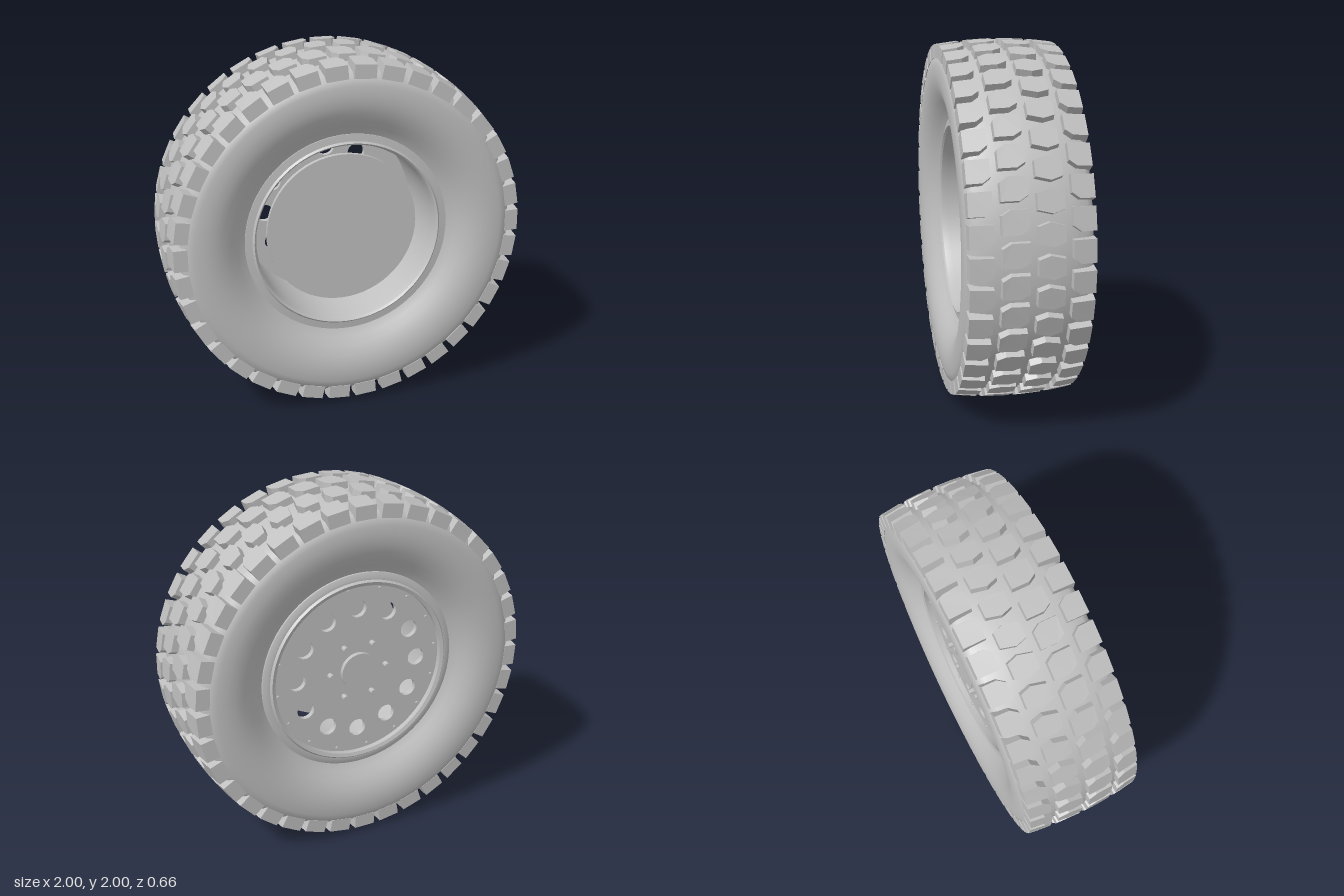
import * as THREE from 'three';
import { mergeGeometries, toCreasedNormals } from 'three/addons/utils/BufferGeometryUtils.js';

const grey = new THREE.MeshStandardMaterial({ color: 0xc0c0c0 });
grey.name = 'plain grey';

const BLOCKS = 38;
const PITCH = (Math.PI * 2) / BLOCKS;

// Radius of the slightly crowned tread surface at a given width position
const crown = (z) => 1 - 0.24 * z * z;

// Revolve a [radius, z] profile around the z axis
function revolve(profile, crease) {
  const points = profile.map(([r, z]) => new THREE.Vector2(r, z));
  const geo = new THREE.LatheGeometry(points, 96).rotateX(Math.PI / 2);
  return crease ? toCreasedNormals(geo, crease) : geo;
}

// Cylinder lying along z between two positions
function discGeometry(radius, z0, z1, x = 0, y = 0, sides = 64) {
  return new THREE.CylinderGeometry(radius, radius, z1 - z0, sides)
    .rotateX(Math.PI / 2).translate(x, y, (z0 + z1) / 2);
}

// Ring of small cylinders around the axle
function boltRing(count, ring, radius, z0, z1, offset, sides) {
  const parts = [];
  for (let i = 0; i < count; i++) {
    const a = offset + (i / count) * Math.PI * 2;
    parts.push(discGeometry(radius, z0, z1, ring * Math.cos(a), ring * Math.sin(a), sides));
  }
  return mergeGeometries(parts);
}

// One row of tread blocks: outline in (along the tread, across the tread), bent onto the crown
function treadRow({ z, depth, phase, outline }) {
  const shape = new THREE.Shape(outline.map(([u, v]) => new THREE.Vector2(u, v)));
  const block = new THREE.ExtrudeGeometry(shape, { depth: 1, bevelEnabled: false });
  const p = block.attributes.position;
  for (let i = 0; i < p.count; i++) {
    const top = p.getZ(i) > 0.5;
    const spread = top ? 1 : 1.08;
    const across = z + p.getY(i) * (top ? 1 : 1.04);
    const angle = p.getX(i) * spread;
    const r = crown(across) - (top ? 0 : depth);
    p.setXYZ(i, r * Math.cos(angle), r * Math.sin(angle), across);
  }
  block.computeVertexNormals();
  const parts = [];
  for (let i = 0; i < BLOCKS; i++) parts.push(block.clone().rotateZ((i + phase) * PITCH));
  return mergeGeometries(parts);
}

export function createModel() {
  const wheel = new THREE.Group();
  wheel.name = 'wheel';
  const add = (name, geometry) => {
    const mesh = new THREE.Mesh(geometry, grey);
    mesh.name = name;
    wheel.add(mesh);
    return mesh;
  };

  // Tyre body: crowned tread, rounded shoulders, sidewalls sloping in to the beads
  const half = [
    [0.962, 0], [0.958, 0.12], [0.947, 0.21], [0.928, 0.285], [0.9, 0.317], [0.862, 0.328],
    [0.81, 0.332], [0.76, 0.328], [0.71, 0.314], [0.66, 0.288], [0.62, 0.258], [0.58, 0.232],
    [0.54, 0.215], [0.52, 0.2],
  ];
  const mirrored = half.slice(1).reverse().map(([r, z]) => [r, -z]);
  add('tyre body', revolve([...mirrored, ...half]));

  // Tread rows: staggered blocks with cut corners
  const h = 0.062;
  const w = 0.069;
  const s = 0.06;
  const rows = [
    { name: 'front shoulder blocks', z: 0.26, depth: 0.075, phase: 0.05,
      outline: [[-h + 0.03, -s], [h, -s], [h, s], [-h, s], [-h, -s + 0.04]] },
    { name: 'front centre blocks', z: 0.091, depth: 0.045, phase: 0.47,
      outline: [[-h + 0.028, -w], [h, -w], [h, w - 0.045], [h - 0.028, w], [-h, w], [-h, -w + 0.045]] },
    { name: 'rear centre blocks', z: -0.088, depth: 0.045, phase: 0.05,
      outline: [[-h + 0.02, -w], [h - 0.02, -w], [h, 0.01], [h - 0.02, w], [-h + 0.02, w], [-h, -0.01]] },
    { name: 'rear shoulder blocks', z: -0.257, depth: 0.075, phase: 0.47,
      outline: [[-h, -s], [h, -s], [h, s], [-h + 0.03, s], [-h, s - 0.04]] },
  ];
  for (const row of rows) add(row.name, treadRow(row));

  // Rim barrel with a flange at each end
  add('rim', revolve([
    [0.505, -0.255], [0.525, -0.262], [0.535, -0.25], [0.55, -0.25], [0.575, -0.24], [0.575, -0.22],
    [0.53, -0.19], [0.53, 0.19], [0.575, 0.22], [0.575, 0.236], [0.535, 0.24], [0.525, 0.25],
    [0.515, 0.24], [0.505, 0.2], [0.505, -0.255],
  ], 0.5));

  // Wheel face with a ring of twelve round holes
  const face = new THREE.Shape().absarc(0, 0, 0.507, 0, Math.PI * 2);
  for (let i = 0; i < 12; i++) {
    const a = (i / 12) * Math.PI * 2;
    const hole = new THREE.Path();
    hole.absarc(0.365 * Math.cos(a), 0.365 * Math.sin(a), 0.05, 0, Math.PI * 2, true);
    face.holes.push(hole);
  }
  const faceGeo = new THREE.ExtrudeGeometry(face, { depth: 0.03, bevelEnabled: false, curveSegments: 32 });
  add('wheel face', toCreasedNormals(faceGeo.translate(0, 0, -0.225), 0.6));

  // Hub cap, wheel studs and rim bolts on the rear side
  add('hub cap', discGeometry(0.105, -0.25, -0.2));
  add('wheel studs', boltRing(6, 0.17, 0.016, -0.26, -0.2, 0, 12));
  add('rim bolts', boltRing(16, 0.483, 0.009, -0.235, -0.2, 0.27, 8));

  // Inner disc on its axle, seen through the front opening
  add('inner disc', discGeometry(0.43, 0.115, 0.14));
  add('axle', discGeometry(0.1, -0.2, 0.12));

  wheel.position.y = 1;
  const model = new THREE.Group();
  model.name = 'off-road wheel';
  model.add(wheel);
  return model;
}
